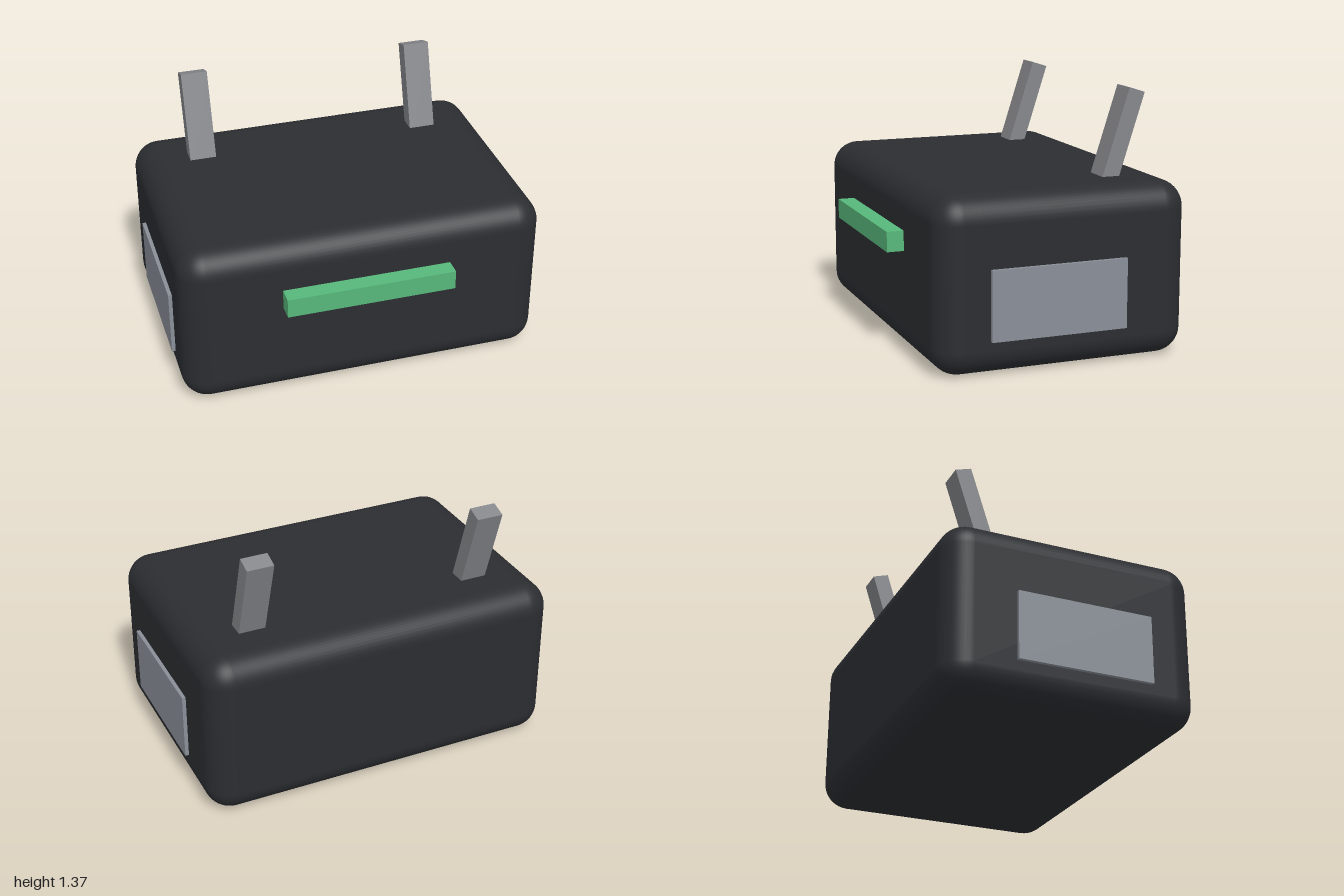
import * as THREE from 'three';
import { RoundedBoxGeometry } from 'three/addons/geometries/RoundedBoxGeometry.js';

export function createModel() {
  const model = new THREE.Group();
  model.name = 'roundedBoxWithAntennas';

  const dark = new THREE.MeshStandardMaterial({ color: 0x2b2d31 });
  const steel = new THREE.MeshStandardMaterial({ color: 0x8a8f98 });
  const grey = new THREE.MeshStandardMaterial({ color: 0x86878b });
  const green = new THREE.MeshStandardMaterial({ color: 0x57b87b });

  const add = (name, geometry, material, x, y, z) => {
    const mesh = new THREE.Mesh(geometry, material);
    mesh.name = name;
    mesh.position.set(x, y, z);
    model.add(mesh);
    return mesh;
  };

  // Softly rounded main housing
  add('body', new RoundedBoxGeometry(1.96, 0.91, 1.36, 6, 0.14), dark, 0, 0.455, -0.045);

  // Glowing strip across the front
  add('frontBar', new THREE.BoxGeometry(0.906, 0.106, 0.11), green, 0, 0.602, 0.67);

  // Mirrored side plates and backward-leaning antennas
  const tilt = 0.31, length = 0.6;
  for (const [side, s] of [['left', 1], ['right', -1]]) {
    add(side + 'SidePlate', new THREE.BoxGeometry(0.06, 0.363, 0.726), steel, s * 0.97, 0.367, 0);
    const antenna = add(side + 'Antenna', new THREE.BoxGeometry(0.144, length, 0.09), grey,
      s * 0.637, 1.352 - Math.cos(tilt) * length / 2, -0.543 + Math.sin(tilt) * length / 2);
    antenna.rotation.x = -tilt;
  }
  return model;
}
